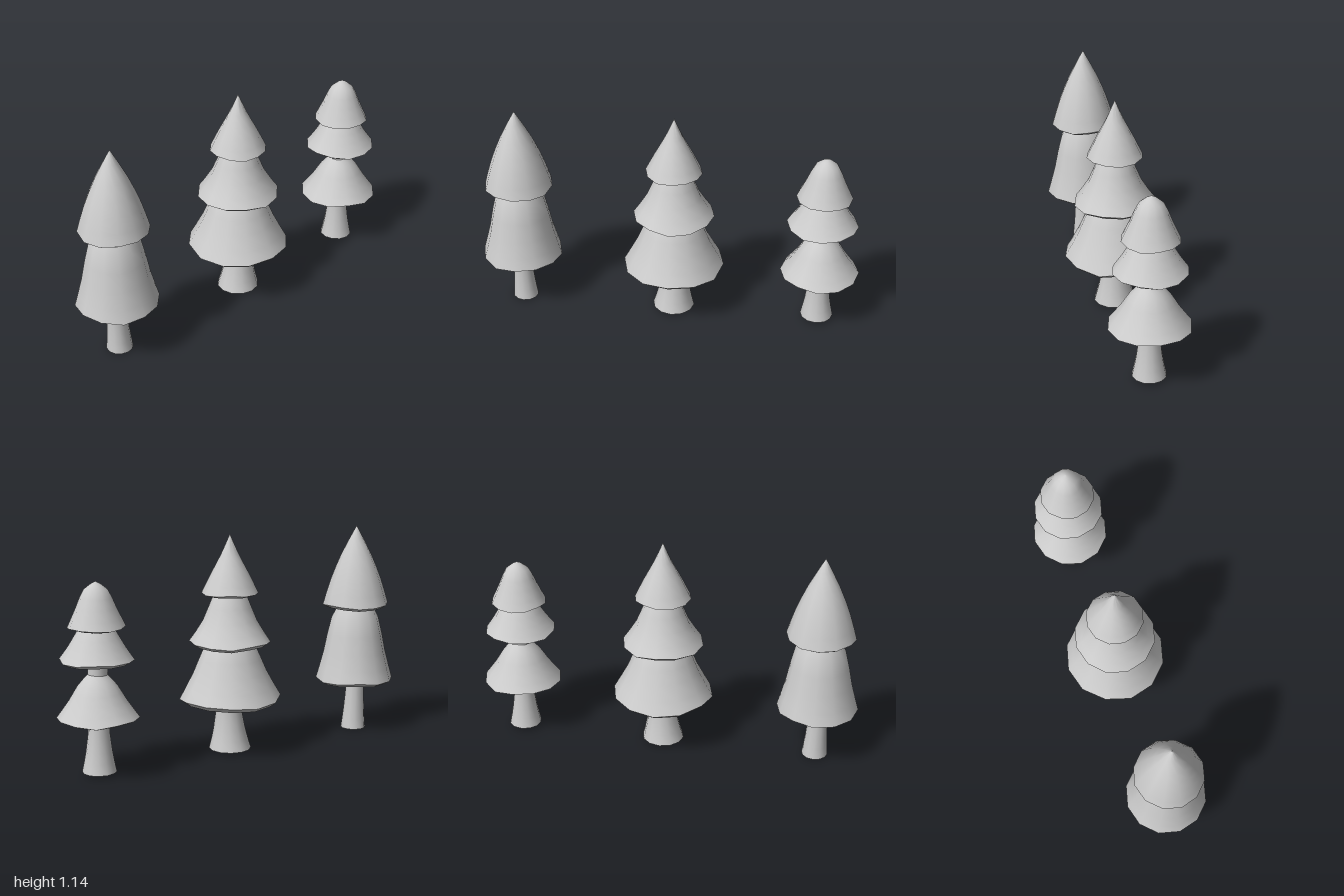
import * as THREE from 'three';
import { toCreasedNormals } from 'three/addons/utils/BufferGeometryUtils.js';

const SIDES = 12;
const NECK_Y = 0.28;
const material = new THREE.MeshStandardMaterial({ color: 0xcccccc, side: THREE.DoubleSide });

function makeMesh(name, geometry) {
  const mesh = new THREE.Mesh(toCreasedNormals(geometry, 0.9), material);
  mesh.name = name;
  return mesh;
}

// Open tube: flares from the neck down to the foot and leans sideways
function makeTrunk(footRadius, neckRadius, footY, topY, lean) {
  const points = [0, 0.2, 0.4, 0.7, 1].map((t) => new THREE.Vector2(
    neckRadius + (footRadius - neckRadius) * (1 - t) ** 1.7,
    THREE.MathUtils.lerp(footY, NECK_Y, t),
  ));
  points.push(new THREE.Vector2(neckRadius * 0.95, topY));
  const geometry = new THREE.LatheGeometry(points, SIDES);
  const pos = geometry.attributes.position;
  for (let i = 0; i < pos.count; i++) {
    const t = Math.min(1, pos.getY(i) / NECK_Y);
    pos.setX(i, pos.getX(i) + lean * t);
  }
  return makeMesh('trunk', geometry);
}

// Hollow skirt through four outer points [radius, y] from rim to top:
// inner wall, underside lip, then the outer wall
function makeTier(name, lip, seed, ...controls) {
  const curve = new THREE.SplineCurve(controls.map(([r, y]) => new THREE.Vector2(r, y)));
  const outer = curve.getPoints(6);
  outer.forEach((p) => { p.x = Math.max(p.x, 0); });
  const rim = outer[0];
  const inner = outer.slice(1).reverse()
    .map((p) => new THREE.Vector2(Math.max(p.x - 0.025, 0), p.y - 0.012));
  const edge = new THREE.Vector2(rim.x - 0.03, rim.y - lip);
  const geometry = new THREE.LatheGeometry([...inner, edge, ...outer], SIDES);

  // Ripple the skirt, strongest at the rim
  const pos = geometry.attributes.position;
  for (let i = 0; i < pos.count; i++) {
    const x = pos.getX(i), z = pos.getZ(i);
    const a = Math.atan2(x, z);
    const weight = Math.min(1, Math.hypot(x, z) / rim.x) ** 3;
    const ripple = Math.sin(3 * a + seed) + 0.5 * Math.cos(5 * a - seed);
    pos.setY(i, pos.getY(i) + 0.027 * rim.x * weight * ripple);
  }
  return makeMesh(name, geometry);
}

function makeTree(name, x, ...parts) {
  const tree = new THREE.Group();
  tree.name = name;
  tree.position.x = x;
  tree.add(...parts);
  return tree;
}

export function createModel() {
  const model = new THREE.Group();
  model.name = 'pineTrees';

  // Two tall, soft tiers
  model.add(makeTree('leftTree', -0.79,
    makeTrunk(0.068, 0.049, 0, 0.68, -0.01),
    makeTier('lowerFoliage', 0.018, 0, [0.211, 0.285], [0.17, 0.435], [0.128, 0.625], [0.06, 0.74]),
    makeTier('upperFoliage', 0.018, 2.3, [0.178, 0.7], [0.139, 0.83], [0.08, 0.975], [0, 1.127]),
  ));

  // Three wide tiers on a thick trunk
  model.add(makeTree('middleTree', 0.023,
    makeTrunk(0.11, 0.064, 0.012, 0.8, 0.01),
    makeTier('lowerFoliage', 0.024, 1.7, [0.264, 0.287], [0.19, 0.425], [0.132, 0.56], [0.06, 0.66]),
    makeTier('middleFoliage', 0.02, 4, [0.211, 0.585], [0.14, 0.695], [0.085, 0.83], [0.04, 0.9]),
    makeTier('upperFoliage', 0.012, 6.3, [0.146, 0.84], [0.1, 0.935], [0.045, 1.04], [0, 1.143]),
  ));

  // Three short, rounded tiers with bare trunk between
  model.add(makeTree('rightTree', 0.79,
    makeTrunk(0.086, 0.051, 0.015, 0.8, -0.002),
    makeTier('lowerFoliage', 0.012, 3.4, [0.205, 0.293], [0.143, 0.38], [0.098, 0.455], [0.048, 0.512]),
    makeTier('middleFoliage', 0.018, 5.7, [0.184, 0.587], [0.14, 0.65], [0.09, 0.735], [0.045, 0.8]),
    makeTier('upperFoliage', 0.01, 8, [0.143, 0.748], [0.1, 0.84], [0.058, 0.932], [0, 0.971]),
  ));
  return model;
}
